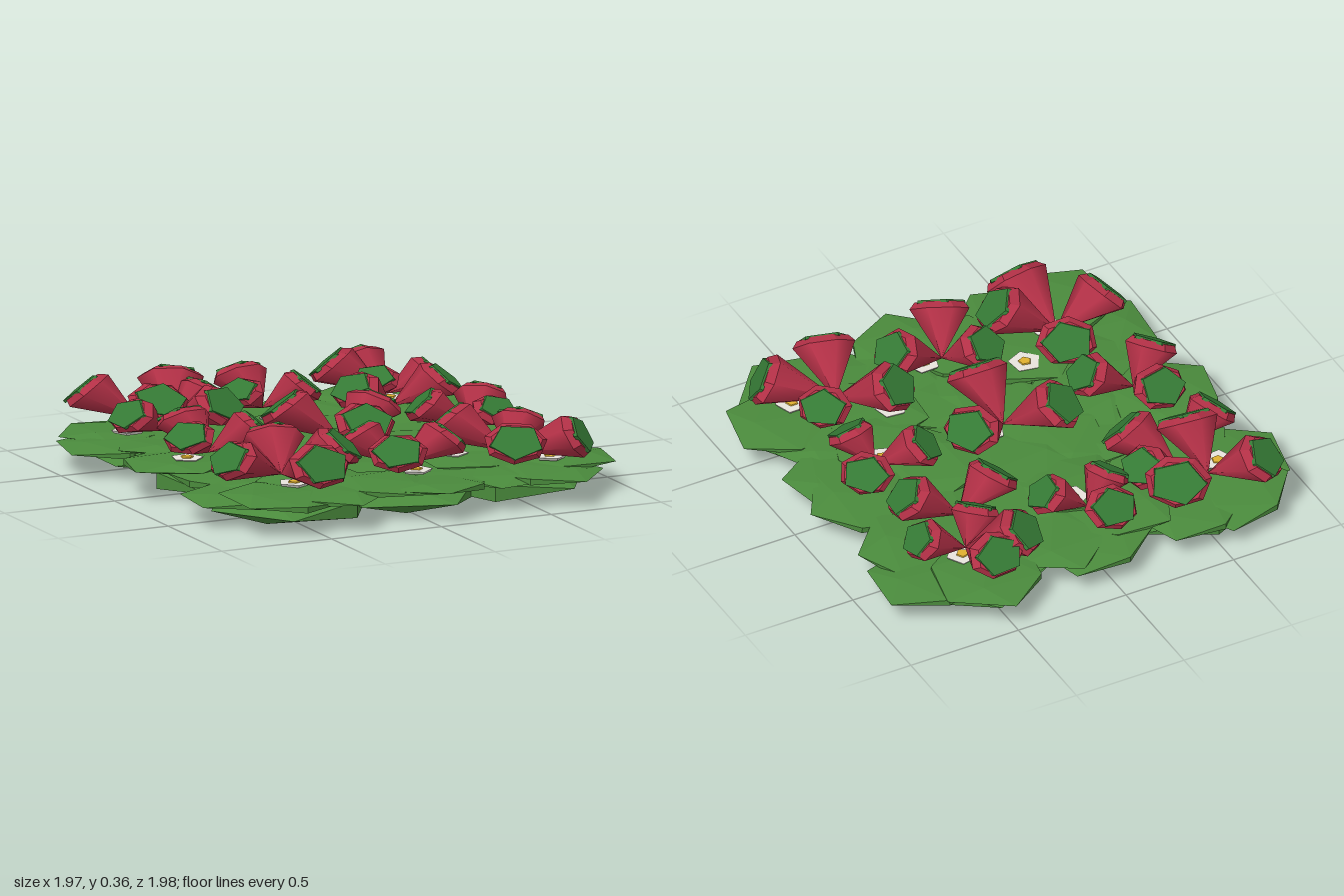
import * as THREE from 'three';

const mat = (color, flatShading = true) => new THREE.MeshStandardMaterial({ color, flatShading });
const leafMat = mat(0x4a8a3c);
const berryMat = mat(0xb23046, false);
const collarMat = mat(0xb23046);
const capMat = mat(0x357a35);
const petalMat = mat(0xe8e4dc);
const centreMat = mat(0xe0b030);

// Seeded random numbers in 0..1
let seed = 11;
const rand = () => (seed = (seed * 16807) % 2147483647) / 2147483647;

function add(parent, name, geometry, material, x = 0, y = 0, z = 0) {
  const mesh = new THREE.Mesh(geometry, material);
  mesh.name = name;
  mesh.position.set(x, y, z);
  parent.add(mesh);
  return mesh;
}

// Nine plants: centre x, z
const plants = [
  [-0.56, -0.56], [0, -0.53], [0.54, -0.56],
  [-0.52, 0], [0, 0.02], [0.55, 0.04],
  [-0.5, 0.56], [0.04, 0.56], [0.56, 0.54],
];

// Squashed low-poly leaves: a thick lens near the ground, thin flat leaves fanned above
function createFoliage() {
  const foliage = new THREE.Group();
  foliage.name = 'foliage';
  const leafShape = new THREE.IcosahedronGeometry(1, 0);
  for (const [x, z] of plants) {
    const base = add(foliage, 'lowerLeaves', leafShape, leafMat, x * 0.92, 0.058, z * 0.95);
    base.scale.set(0.37, 0.066, 0.37);
    base.rotation.y = rand() * 6.28;
    const start = rand() * 6.28;
    for (let i = 0; i < 5; i++) {
      const a = start + i * 1.257 + rand() * 0.3;
      const leaf = add(foliage, 'leaf', leafShape, leafMat,
        x + Math.cos(a) * 0.18, 0.1 + rand() * 0.025, z + Math.sin(a) * 0.18);
      leaf.scale.set(0.24 + rand() * 0.03, 0.025, 0.24 + rand() * 0.03);
      leaf.rotation.set((rand() - 0.5) * 0.1, rand() * 6.28, (rand() - 0.5) * 0.1);
    }
  }
  return foliage;
}

// Tip x, z shared by a bunch, then base x, z and the rise from tip to base
const bunches = [
  [-0.58, -0.63, [[-0.77, -0.78, 0.12], [-0.6, -0.39, 0.13]]],
  [-0.49, -0.54, [[-0.36, -0.78, 0.13], [-0.29, -0.59, 0.11], [-0.35, -0.31, 0.11]]],
  [-0.57, -0.4, [[-0.77, -0.35, 0.1]]],
  [-0.04, -0.59, [[-0.06, -0.79, 0.12], [-0.18, -0.53, 0.1], [0.14, -0.54, 0.1]]],
  [0.53, -0.6, [[0.33, -0.75, 0.12], [0.5, -0.84, 0.11], [0.42, -0.49, 0.1], [0.73, -0.56, 0.09]]],
  [0.45, -0.39, [[0.24, -0.33, 0.11], [0.66, -0.31, 0.12]]],
  [-0.59, 0.03, [[-0.62, -0.17, 0.12], [-0.74, 0.14, 0.11], [-0.38, 0.08, 0.11]]],
  [0, 0.06, [[-0.2, -0.09, 0.14], [0.22, -0.05, 0.12], [0, 0.31, 0.13]]],
  [0.59, 0.07, [[0.4, -0.02, 0.1], [0.72, -0.09, 0.1], [0.64, 0.22, 0.1]]],
  [-0.49, 0.51, [[-0.42, 0.28, 0.12], [-0.75, 0.55, 0.1], [-0.26, 0.62, 0.13], [-0.45, 0.82, 0.1]]],
  [0.01, 0.57, [[-0.12, 0.42, 0.12], [0.24, 0.58, 0.11], [-0.09, 0.78, 0.11]]],
  [0.52, 0.54, [[0.33, 0.35, 0.12], [0.66, 0.39, 0.1], [0.44, 0.8, 0.1], [0.78, 0.71, 0.08]]],
];
const squash = 0.65; // berries are flattened in height

// One berry: cone with its tip at the origin, chamfered collar and leafy cap, along +y
function createBerry(length) {
  const berry = new THREE.Group();
  berry.name = 'berry';
  const r = 0.04 + length * 0.3;
  const end = 0.035;
  const body = length - end;
  const cone = new THREE.CylinderGeometry(r, 0.002, body, 7, 1, true);
  add(berry, 'berryBody', cone, berryMat, 0, body / 2, 0);
  const collar = new THREE.CylinderGeometry(r * 0.82, r, end, 7);
  add(berry, 'berryCollar', collar, collarMat, 0, body + end / 2, 0);
  const cap = new THREE.CylinderGeometry(r * 0.84, r * 0.87, 0.016, 5);
  add(berry, 'berryCap', cap, capMat, 0, length, 0);
  return berry;
}

function createBerries() {
  const berries = new THREE.Group();
  berries.name = 'berries';
  berries.position.y = 0.17;
  berries.scale.y = squash;
  const up = new THREE.Vector3(0, 1, 0);
  const spin = new THREE.Quaternion();
  for (const [tx, tz, list] of bunches) {
    for (const [bx, bz, rise] of list) {
      const dir = new THREE.Vector3(bx - tx, rise / squash, bz - tz);
      const berry = createBerry(dir.length());
      berry.position.set(tx, 0, tz);
      berry.quaternion.setFromUnitVectors(up, dir.normalize())
        .multiply(spin.setFromAxisAngle(up, rand() * 6.28));
      berries.add(berry);
    }
  }
  return berries;
}

// Five-sided blossoms resting on the leaves: x, z
const blossoms = [
  [-0.67, -0.55], [-0.03, -0.48], [0.55, -0.61], [-0.67, 0], [0.06, 0.07], [0.53, 0.12],
  [-0.29, 0.41], [-0.47, 0.59], [0.34, 0.4], [0.68, 0.62], [0.08, 0.6],
];

function createBlossoms() {
  const group = new THREE.Group();
  group.name = 'blossoms';
  for (const [x, z] of blossoms) {
    const flower = new THREE.Group();
    flower.name = 'blossom';
    flower.position.set(x, 0.146, z);
    flower.rotation.y = rand() * 6.28;
    add(flower, 'petals', new THREE.CylinderGeometry(0.07, 0.06, 0.012, 5), petalMat);
    add(flower, 'blossomCentre', new THREE.CylinderGeometry(0.026, 0.03, 0.01, 5), centreMat, 0, 0.006, 0);
    group.add(flower);
  }
  return group;
}

export function createModel() {
  const model = new THREE.Group();
  model.name = 'berryPatch';
  model.add(createFoliage(), createBerries(), createBlossoms());
  return model;
}
